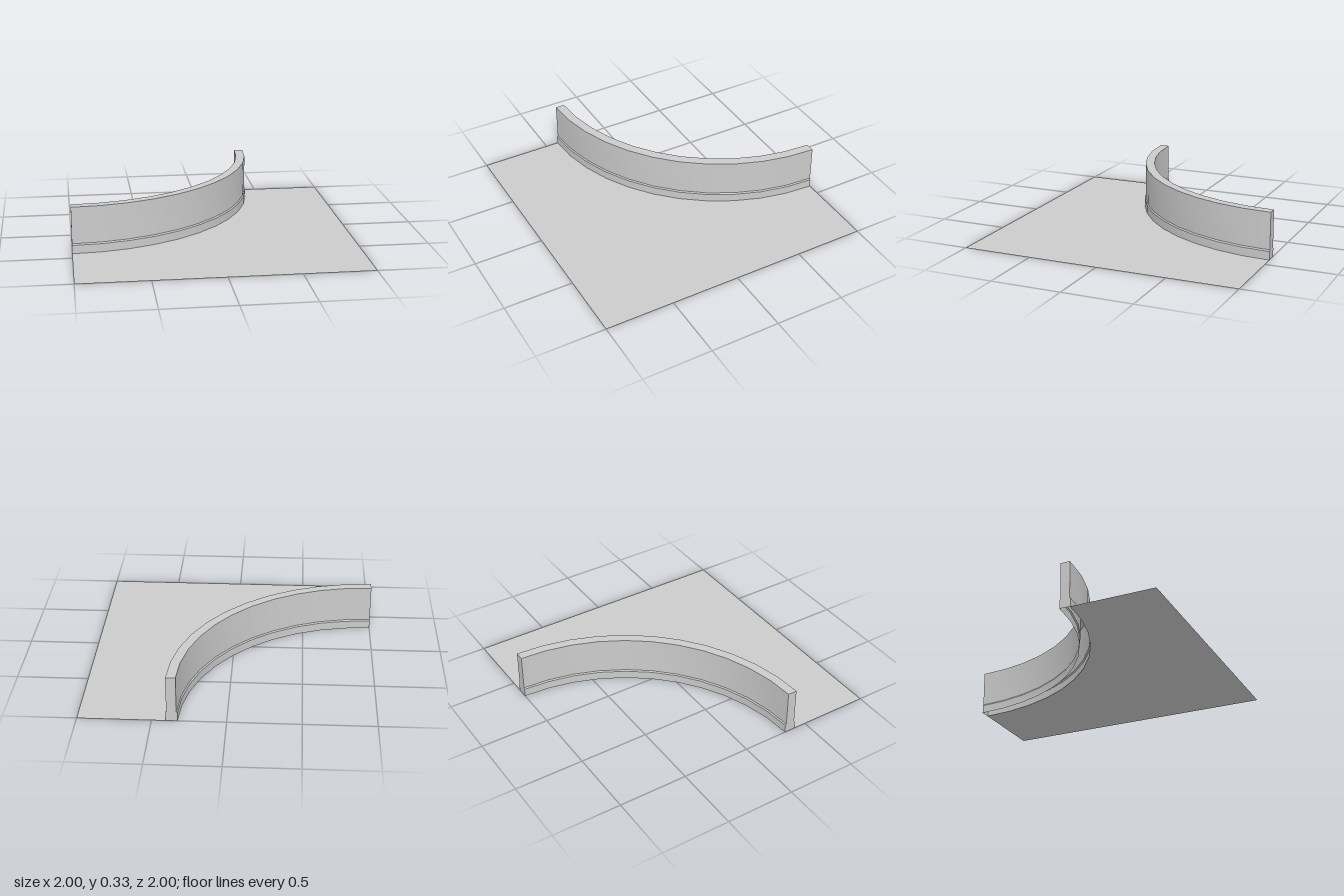
import * as THREE from 'three';
import { toCreasedNormals } from 'three/addons/utils/BufferGeometryUtils.js';

const SEGMENTS = 11;
const INNER = 1.333, OUTER = 1.4, HEIGHT = 0.333;
const LIP = 0.007, SKIRT = 0.06, SKIRT_TOP = 0.07;

export function createModel() {
  const group = new THREE.Group();
  const material = new THREE.MeshStandardMaterial({ color: 0xcccccc, side: THREE.DoubleSide });
  const add = (name, geometry, parent = group) => {
    const mesh = new THREE.Mesh(geometry, material);
    mesh.name = name;
    parent.add(mesh);
    return mesh;
  };

  // Wall section with a chamfered skirting on both faces, open underneath
  const profile = [
    [OUTER + LIP, 0], [OUTER + LIP, SKIRT], [OUTER, SKIRT_TOP], [OUTER, HEIGHT],
    [INNER, HEIGHT], [INNER, SKIRT_TOP], [INNER - LIP, SKIRT], [INNER - LIP, 0],
  ].map(([r, y]) => new THREE.Vector2(r, y));

  // Quarter-round wall swept about the back right corner
  const wall = new THREE.Group();
  wall.name = 'curvedWall';
  wall.position.set(-1, 0, -1);
  group.add(wall);
  const sweep = new THREE.LatheGeometry(profile, SEGMENTS, 0, Math.PI / 2);
  add('wallSurface', toCreasedNormals(sweep, 0.4), wall);

  // Flat caps on the two cut ends
  const section = new THREE.Shape(profile);
  add('wallEndBack', new THREE.ShapeGeometry(section), wall);
  add('wallEndRight', new THREE.ShapeGeometry(section).rotateY(-Math.PI / 2), wall);

  // Floor sheet: a square with the wall's quarter circle cut away
  const outline = [[1, 1], [-1, 1]];
  for (let i = 0; i <= SEGMENTS; i++) {
    const a = (i / SEGMENTS) * Math.PI / 2;
    outline.push([OUTER * Math.sin(a) - 1, OUTER * Math.cos(a) - 1]);
  }
  outline.push([1, -1]);
  const floorShape = new THREE.Shape(outline.map(([x, z]) => new THREE.Vector2(x, -z)));
  add('floor', new THREE.ShapeGeometry(floorShape).rotateX(-Math.PI / 2));

  return group;
}
